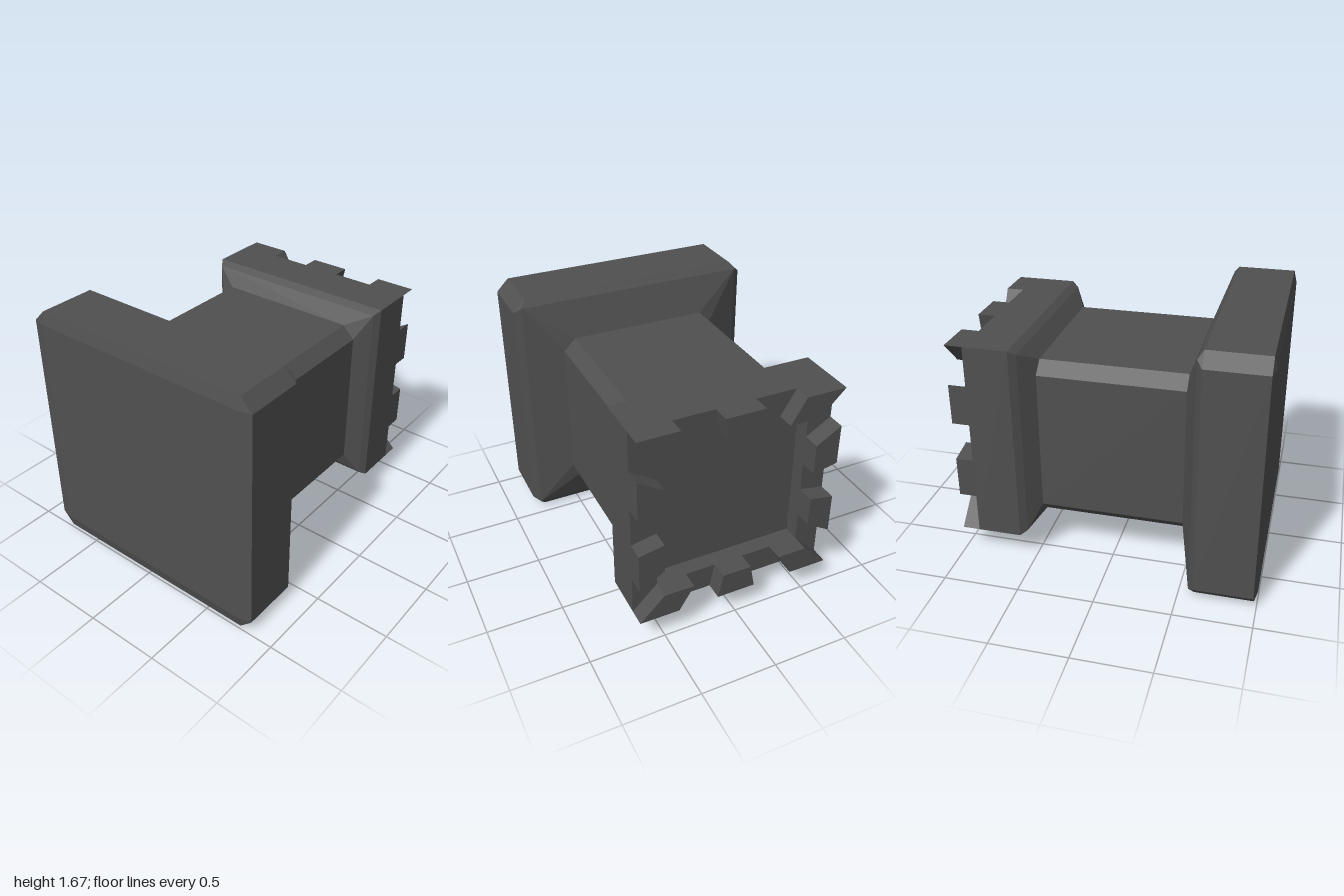
import * as THREE from 'three';

const OUTER = 0.665; // half width of the crown
const INNER = 0.5; // half width of the hollow in the crown
const NOTCH_Z = -0.885;

const material = new THREE.MeshStandardMaterial({ color: 0x505050, flatShading: true });

// Square of half width h with corners cut by c
function section([z, h, c = 0]) {
  const k = h - c;
  return [[h, -k], [h, k], [k, h], [-k, h], [-h, k], [-h, -k], [-k, -h], [k, -h]]
    .map(([x, y]) => [x, y, z]);
}

// Faceted skin through sections listed from front to back
function loft(name, sections) {
  const rings = sections.map(section);
  const position = [];
  for (let r = 0; r < rings.length - 1; r++) {
    const a = rings[r], b = rings[r + 1];
    for (let i = 0; i < 8; i++) {
      const j = (i + 1) % 8;
      position.push(...a[i], ...b[i], ...b[j], ...a[i], ...b[j], ...a[j]);
    }
  }
  const geometry = new THREE.BufferGeometry();
  geometry.setAttribute('position', new THREE.Float32BufferAttribute(position, 3));
  geometry.computeVertexNormals();
  const mesh = new THREE.Mesh(geometry, material);
  mesh.name = name;
  return mesh;
}

// Block of the battlement with sides that run toward the tower axis
function merlon(from, to, turn) {
  const s = INNER / OUTER;
  const shape = new THREE.Shape([
    new THREE.Vector2(from, OUTER), new THREE.Vector2(from * s, INNER),
    new THREE.Vector2(to * s, INNER), new THREE.Vector2(to, OUTER),
  ]);
  const geometry = new THREE.ExtrudeGeometry(shape, { depth: 1 + NOTCH_Z, bevelEnabled: false });
  geometry.translate(0, 0, -1);
  const mesh = new THREE.Mesh(geometry, material);
  mesh.rotation.z = turn * Math.PI / 2;
  mesh.name = 'merlon';
  return mesh;
}

export function createModel() {
  const model = new THREE.Group();
  model.name = 'castleTower';
  const tower = new THREE.Group();
  tower.name = 'tower';
  tower.position.y = 0.837;
  model.add(tower);

  // Bevelled foot, narrowing to the shaft
  tower.add(loft('base', [
    [1, 0], [1, 0.755], [0.98, 0.837, 0.082], [0.6, 0.837, 0.082],
    [0.565, 0.79], [0.475, 0.548, 0.08],
  ]));
  tower.add(loft('shaft', [[0.475, 0.548, 0.08], [-0.465, 0.548, 0.08]]));

  // Flared head with a sunken floor
  tower.add(loft('head', [
    [-0.465, 0.548, 0.08], [-0.55, 0.635], [-0.595, OUTER], [NOTCH_Z, OUTER],
    [NOTCH_Z, INNER], [-0.78, INNER], [-0.78, 0],
  ]));

  // Battlement: three blocks on the top and bottom walls, two on the side walls
  const battlement = new THREE.Group();
  battlement.name = 'battlement';
  const wide = [[-OUTER, -0.4], [-0.13, 0.13], [0.4, OUTER]];
  const narrow = [[-0.4, -0.13], [0.13, 0.4]];
  for (let turn = 0; turn < 4; turn++) {
    for (const [from, to] of turn % 2 ? narrow : wide) battlement.add(merlon(from, to, turn));
  }
  tower.add(battlement);
  return model;
}
